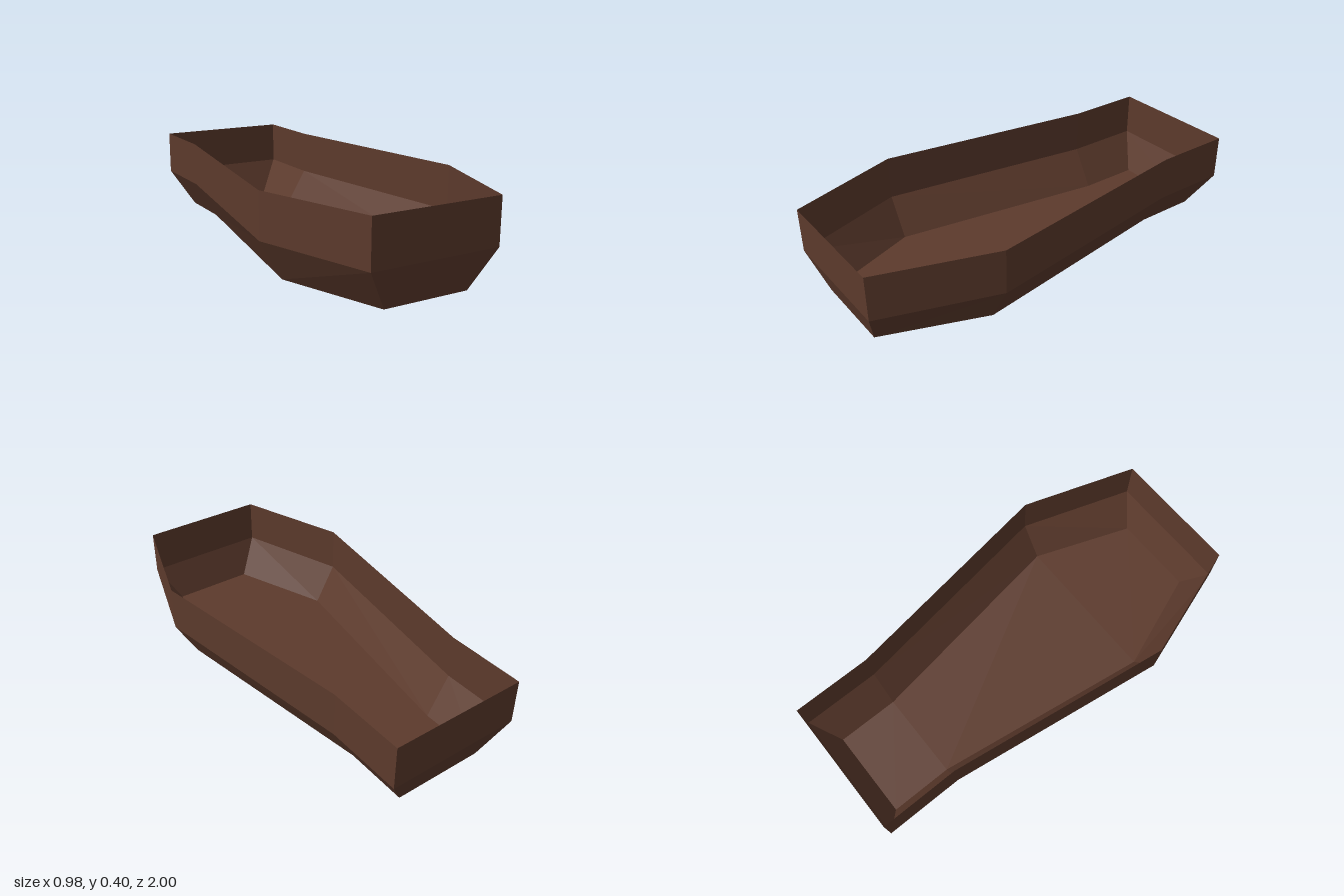
import * as THREE from 'three';

// Half outline of each level, front to back: [x, z]
const RIM = [[0.31, 1], [0.49, 0.455], [0.33, -0.62], [0.33, -1]];
const BASE = [[0.205, 0.94], [0.385, 0.455], [0.22, -0.62], [0.22, -0.925]];

// Mirror a half outline into a closed ring at height y
function ring(half, y) {
  const left = half.map(([x, z]) => [x, y, z]);
  const right = half.map(([x, z]) => [-x, y, z]).reverse();
  return [...left, ...right];
}

// Flat-faced mesh made from four-cornered panels
function panels(name, quads, material) {
  const positions = quads.flatMap(([a, b, c, d]) => [a, b, c, a, c, d]).flat();
  const geometry = new THREE.BufferGeometry();
  geometry.setAttribute('position', new THREE.Float32BufferAttribute(positions, 3));
  geometry.computeVertexNormals();
  const mesh = new THREE.Mesh(geometry, material);
  mesh.name = name;
  return mesh;
}

// Band of outward-facing panels between two rings
function band(lower, upper) {
  return lower.map((p, i) => {
    const j = (i + 1) % lower.length;
    return [p, lower[j], upper[j], upper[i]];
  });
}

export function createModel() {
  const wood = new THREE.MeshStandardMaterial({ color: 0x5c3a2c, side: THREE.DoubleSide });
  wood.name = 'darkBrownWood';

  const bottom = ring(BASE, 0);
  const middle = ring(RIM, 0.185);
  const top = ring(RIM, 0.4);

  // Floor strips run across from side to side
  const floor = [0, 1, 2].map((i) => [bottom[i], bottom[7 - i], bottom[6 - i], bottom[i + 1]]);

  const group = new THREE.Group();
  group.name = 'openTaperedTub';
  group.add(
    panels('floor', floor, wood),
    panels('slopedLowerWalls', band(bottom, middle), wood),
    panels('uprightUpperWalls', band(middle, top), wood),
  );
  return group;
}
